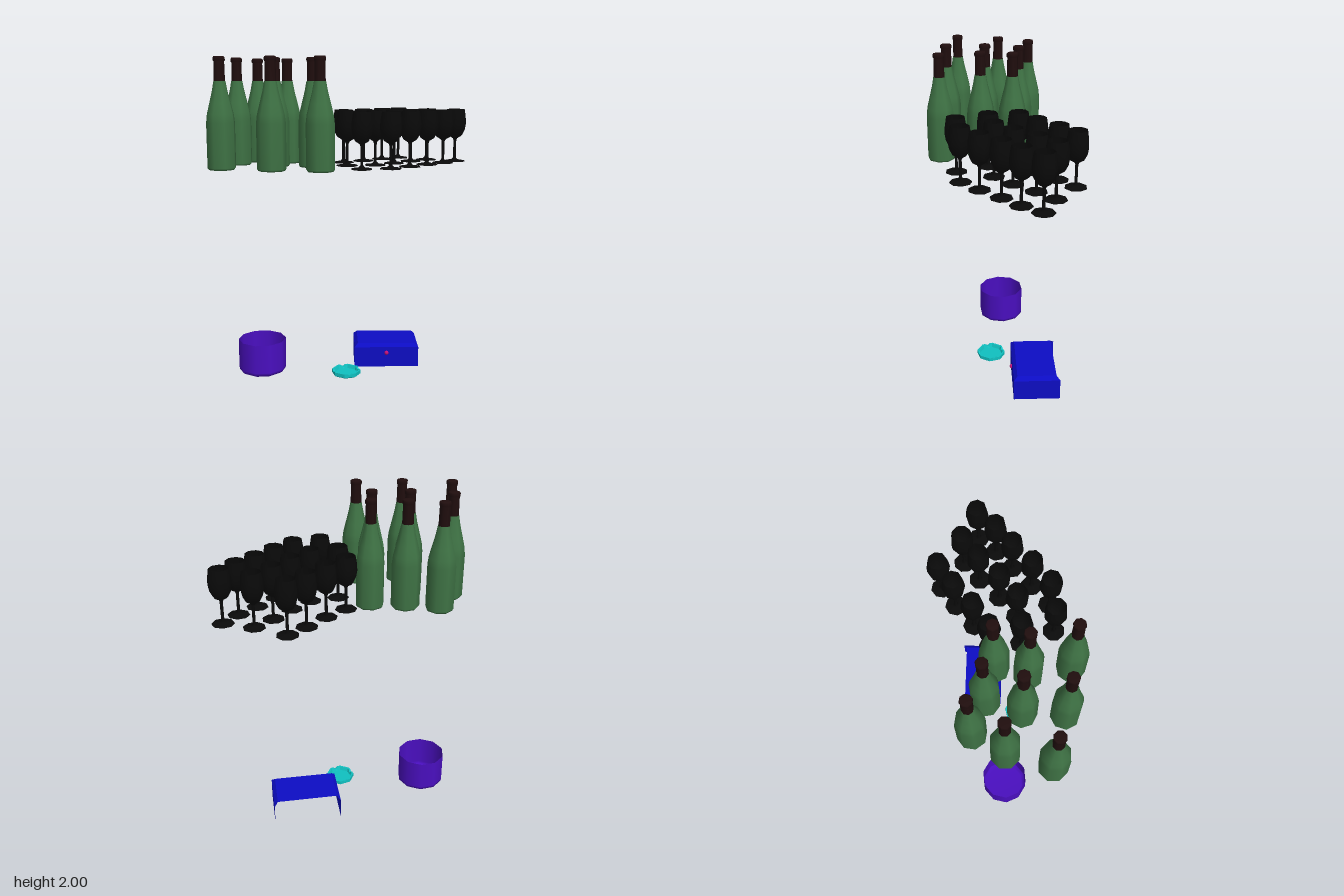
import * as THREE from 'three';

const mat = (color, flat = false) =>
  new THREE.MeshStandardMaterial({ color, side: THREE.DoubleSide, flatShading: flat });
const green = mat(0x3f7345), capMat = mat(0x200e0e), black = mat(0x0a0a0a);
const purple = mat(0x4a0fc0), blue = mat(0x0d0dc4, true), cyan = mat(0x10c0c0, true), pink = mat(0xc0107a);

function add(parent, name, geometry, material, x = 0, y = 0, z = 0) {
  const mesh = new THREE.Mesh(geometry, material);
  mesh.name = name;
  mesh.position.set(x, y, z);
  parent.add(mesh);
  return mesh;
}
const lathe = (points, sides) =>
  new THREE.LatheGeometry(points.map(([r, y]) => new THREE.Vector2(r, y)), sides);

// Shallow octagonal dish whose rim dips at four notches
function dishGeometry() {
  const g = lathe([[0, 0], [0.075, 0], [0.092, 0.01], [0.092, 0.033], [0.08, 0.033], [0.072, 0.012], [0, 0.012]], 32);
  const p = g.attributes.position, step = Math.PI / 4;
  for (let i = 0; i < p.count; i++) {
    const column = Math.floor(i / 7) % 32;
    const a = (column % 4) * (step / 4) - step / 2;
    const k = Math.cos(step / 2) / Math.cos(a);
    const notch = column % 8 === 2 && p.getY(i) > 0.03;
    p.setXYZ(i, p.getX(i) * k, notch ? 0.022 : p.getY(i), p.getZ(i) * k);
  }
  return g;
}

// Cover with bevelled top edges, open at the back and below
function coverGeometry(w, d, h) {
  const b = 0.022;
  const ring = (inset, y) => [[-1, -1], [-1, 1], [1, 1], [1, -1]].map(([sx, sz]) =>
    [sx * (w - inset), y, sz * (d - inset)]);
  const rings = [ring(0, 0.005), ring(0, h - b), ring(b, h)];
  const pos = [];
  const quad = (a, c, e, f) => [a, c, e, a, e, f].forEach((v) => pos.push(...v));
  for (let l = 0; l < 2; l++)
    for (let i = 0; i < 3; i++)
      quad(rings[l][i], rings[l][i + 1], rings[l + 1][i + 1], rings[l + 1][i]);
  quad(...rings[2]);
  const g = new THREE.BufferGeometry();
  g.setAttribute('position', new THREE.Float32BufferAttribute(pos, 3));
  g.computeVertexNormals();
  return g;
}

export function createModel() {
  const model = new THREE.Group();

  // Bottles
  const bottleBody = lathe([[0, 0], [0.077, 0], [0.085, 0.012], [0.085, 0.27], [0.079, 0.32],
    [0.064, 0.38], [0.046, 0.45], [0.035, 0.508]], 8);
  const bottleCap = lathe([[0.033, 0.506], [0.031, 0.617], [0.035, 0.622], [0.035, 0.638], [0.031, 0.645], [0, 0.645]], 8);
  [[-0.54, 0.075], [-0.34, 0.04], [-0.14, -0.02], [-0.54, 0.29], [-0.29, 0.25],
    [-0.08, 0.165], [0.085, 0.35], [-0.175, 0.46], [-0.465, 0.55]].forEach(([x, z], i) => {
    const bottle = new THREE.Group();
    bottle.name = 'bottle' + (i + 1);
    bottle.position.set(x, 1.355, z);
    bottle.rotation.y = (i * 0.31) % 0.78;
    add(bottle, 'bottleBody', bottleBody, green);
    add(bottle, 'bottleCap', bottleCap, capMat);
    model.add(bottle);
  });

  // Stemmed glasses with hollow stems
  const glass = lathe([[0.066, 0], [0.063, 0.006], [0.02, 0.012], [0.009, 0.025], [0.009, 0.135], [0.014, 0.148],
    [0.042, 0.165], [0.06, 0.2], [0.067, 0.24], [0.064, 0.285], [0.056, 0.333]], 8);
  [[0.145, -0.565], [0.36, -0.54], [0.55, -0.555], [0.09, -0.43], [0.31, -0.4],
    [0.525, -0.415], [0.037, -0.27], [0.27, -0.237], [0.477, -0.273], [-0.027, -0.122],
    [0.215, -0.085], [0.433, -0.113], [0.08, 0.025], [0.38, 0.04], [0.245, 0.148]].forEach(([x, z], i) => {
    add(model, 'glass' + (i + 1), glass, black, x, 1.355, z).rotation.y = (i * 0.23) % 0.78;
  });

  // Open tub
  const tub = lathe([[0, 0], [0.128, 0], [0.15, 0.012], [0.1525, 0.03], [0.1525, 0.215]], 10);
  add(model, 'tub', tub, purple, -0.4425, 0.003, 0.215).rotation.y = Math.PI / 10 * 5;

  // Bevelled cover with a round knob on its front
  const cover = new THREE.Group();
  cover.name = 'cover';
  cover.position.set(0.17, 0, -0.35);
  cover.rotation.y = Math.PI / 6;
  add(cover, 'coverShell', coverGeometry(0.21, 0.142, 0.16), blue);
  add(cover, 'knob', new THREE.SphereGeometry(0.014, 10, 8), pink, 0, 0.1, 0.144);
  model.add(cover);

  // Notched dish
  add(model, 'dish', dishGeometry(), cyan, 0.073, 0.005, 0.017).rotation.y = 0.4;

  return model;
}
